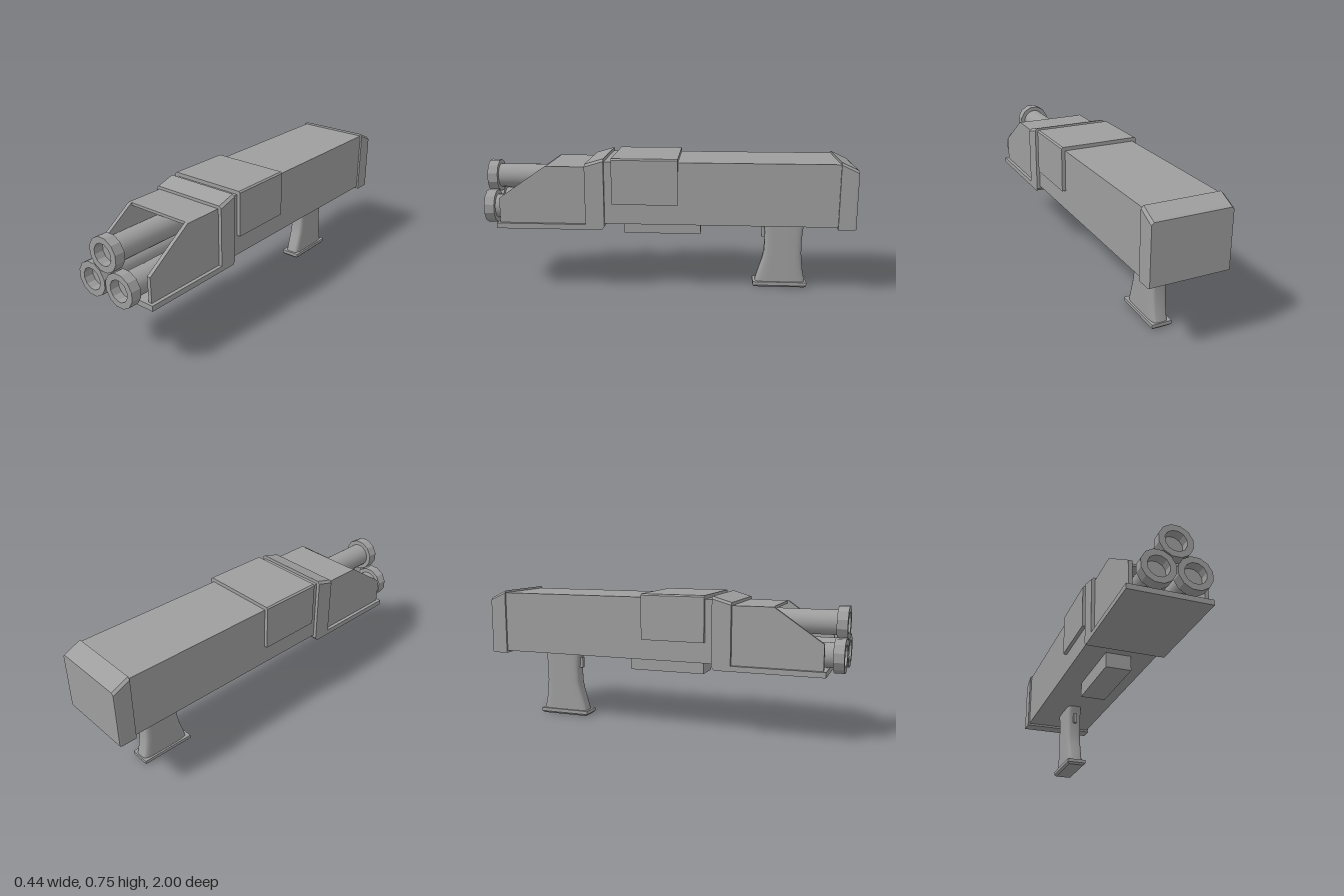
import * as THREE from 'three';

const GREY = 0x9e9e9e;
const flat = new THREE.MeshStandardMaterial({ color: GREY, flatShading: true });
const flatOpen = new THREE.MeshStandardMaterial({ color: GREY, flatShading: true, side: THREE.DoubleSide });
const smooth = new THREE.MeshStandardMaterial({ color: GREY, side: THREE.DoubleSide });

// Joins rings of equal length; convex end rings are capped
function loft(rings, capped = true) {
  const n = rings[0].length, index = [];
  for (let r = 0; r < rings.length - 1; r++) {
    for (let i = 0; i < n; i++) {
      const j = (i + 1) % n, a = r * n, b = a + n;
      index.push(a + i, a + j, b + j, a + i, b + j, b + i);
    }
  }
  const last = (rings.length - 1) * n;
  for (let i = 1; capped && i < n - 1; i++) {
    index.push(0, i + 1, i, last, last + i, last + i + 1);
  }
  const geo = new THREE.BufferGeometry();
  geo.setAttribute('position', new THREE.Float32BufferAttribute(rings.flat(2), 3));
  geo.setIndex(index);
  geo.computeVertexNormals();
  return geo;
}

// Upright rectangle at depth z with its two top corners cut
const panelRing = (hw, y0, y1, z, cut) => [
  [-hw, y0, z], [hw, y0, z], [hw, y1 - cut, z], [hw - cut, y1, z], [-hw + cut, y1, z], [-hw, y1 - cut, z],
];

// Level rectangle at height y
const levelRing = (hw, y, z0, z1) => [[-hw, y, z1], [hw, y, z1], [hw, y, z0], [-hw, y, z0]];

export function createModel() {
  const model = new THREE.Group();
  const add = (name, geo, mat = flat) => {
    const mesh = new THREE.Mesh(geo, mat);
    mesh.name = name;
    model.add(mesh);
    return mesh;
  };
  const box = (name, x0, x1, y0, y1, z0, z1) =>
    add(name, new THREE.BoxGeometry(x1 - x0, y1 - y0, z1 - z0))
      .position.set((x0 + x1) / 2, (y0 + y1) / 2, (z0 + z1) / 2);

  // Long housing and block beneath it
  box('housing', -0.2, 0.2, 0.392, 0.728, -0.92, 0.35);
  box('underBlock', -0.072, 0.072, 0.308, 0.4, -0.18, 0.245);

  // Rear cap, sloping down to the back
  add('rearCap', loft([
    panelRing(0.208, 0.385, 0.696, -1, 0.012),
    panelRing(0.21, 0.38, 0.702, -0.99, 0.013),
    panelRing(0.21, 0.38, 0.74, -0.907, 0.013),
  ]));

  // Saddle cover
  add('saddleCover', loft([
    panelRing(0.22, 0.502, 0.748, -0.06, 0.008),
    panelRing(0.22, 0.502, 0.748, 0.292, 0.008),
  ]));

  // Collar, sloping down to the front, with a bevel under its back edge
  add('collar', loft([
    panelRing(0.219, 0.378, 0.746, 0.333, 0.013),
    panelRing(0.219, 0.361, 0.742, 0.347, 0.013),
    panelRing(0.219, 0.361, 0.716, 0.435, 0.013),
  ]));

  // Open shroud: floor, roof and two sloped side walls
  box('shroudFloor', -0.219, 0.219, 0.361, 0.39, 0.4, 0.92);
  box('shroudRoof', -0.19, 0.19, 0.685, 0.7, 0.42, 0.645);
  const wall = new THREE.Shape([[0.42, 0.385], [0.905, 0.385], [0.905, 0.525], [0.65, 0.7], [0.42, 0.7]]
    .map(([z, y]) => new THREE.Vector2(z, y)));
  for (const outer of [0.2, -0.18]) {
    const geo = new THREE.ExtrudeGeometry(wall, { depth: 0.02, bevelEnabled: false });
    geo.rotateY(-Math.PI / 2).translate(outer, 0, 0);
    add(outer > 0 ? 'leftShroudWall' : 'rightShroudWall', geo);
  }

  // Three barrels with faceted, hollow muzzles
  const muzzle = [[0.06, 0.945], [0.09, 0.945], [0.09, 1], [0.057, 1], [0.057, 0.95], [0, 0.95]]
    .map(([r, z]) => new THREE.Vector2(r, z));
  for (const [x, y] of [[0, 0.613], [-0.092, 0.457], [0.09, 0.457]]) {
    const tube = new THREE.CylinderGeometry(0.065, 0.065, 0.53, 24, 1, true);
    tube.rotateX(Math.PI / 2).translate(x, y, 0.685);
    add('barrel', tube, smooth);
    const ring = new THREE.LatheGeometry(muzzle, 12);
    ring.rotateY(Math.PI / 12).rotateX(Math.PI / 2).translate(x, y, 0);
    add('muzzle', ring, flatOpen);
  }

  // Squarish grip, waisted and flaring towards the foot: [y, back z, front z]
  const gripRings = [
    [0.02, -0.772, -0.487], [0.06, -0.762, -0.497], [0.1, -0.754, -0.51], [0.15, -0.747, -0.525],
    [0.2, -0.744, -0.535], [0.27, -0.744, -0.538], [0.32, -0.747, -0.536], [0.36, -0.753, -0.53],
    [0.4, -0.764, -0.52],
  ].map(([y, z0, z1]) => Array.from({ length: 32 }, (_, i) => {
    const t = (i / 32) * Math.PI * 2;
    const square = (v) => Math.sign(v) * Math.abs(v) ** 0.4;
    return [0.045 * square(Math.sin(t)), y, (z0 + z1) / 2 + (z1 - z0) / 2 * square(Math.cos(t))];
  }));
  add('grip', loft(gripRings, false), smooth);

  // Grip foot with bevelled underside, and trigger
  add('gripFoot', loft([
    levelRing(0.045, 0, -0.765, -0.487),
    levelRing(0.055, 0.011, -0.776, -0.476),
    levelRing(0.055, 0.03, -0.776, -0.476),
  ]));
  box('trigger', -0.01, 0.01, 0.283, 0.342, -0.56, -0.52);

  return model;
}
